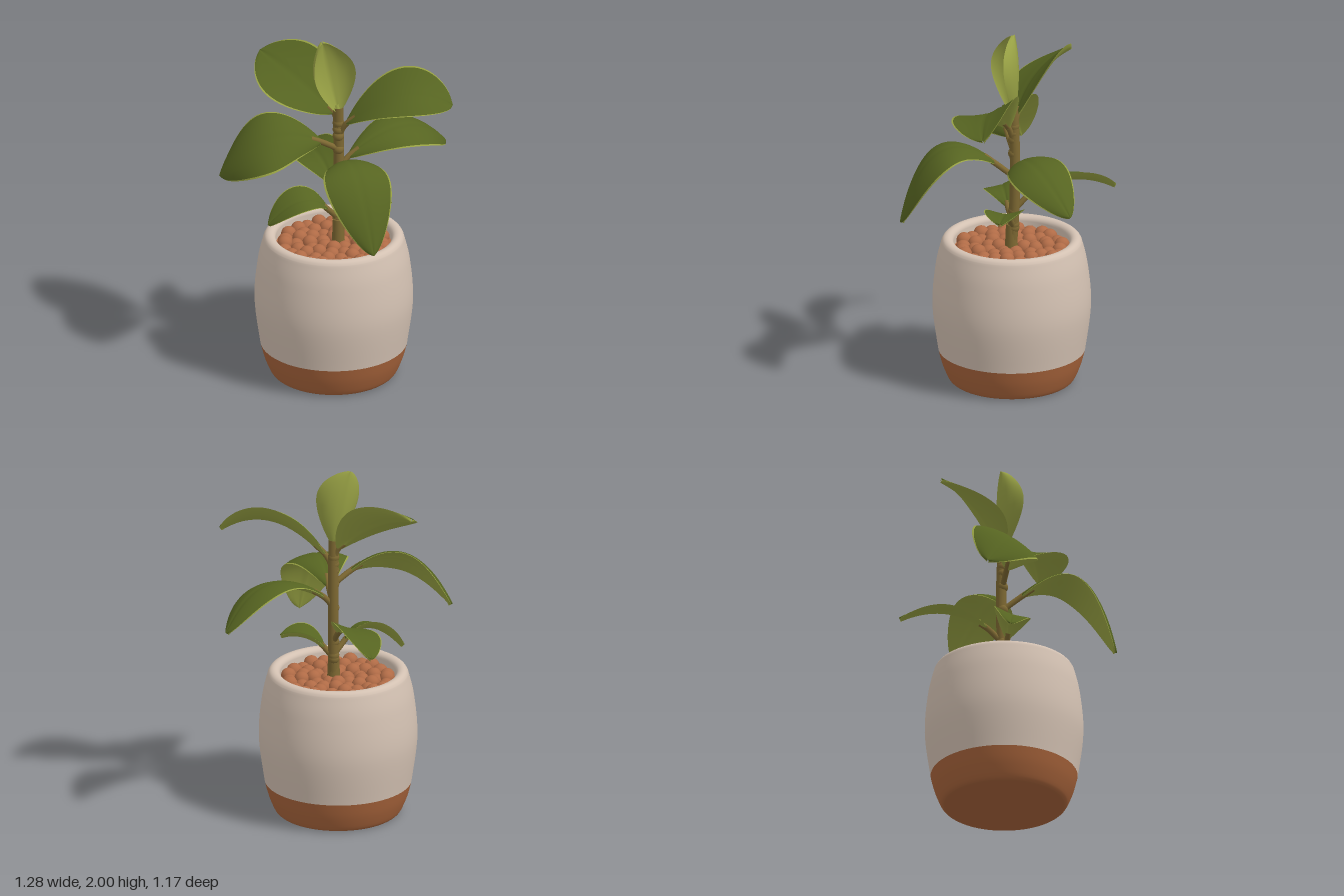
import * as THREE from 'three';

const mat = (name, color) => {
  const m = new THREE.MeshStandardMaterial({ color });
  m.name = name;
  return m;
};
const vec = (p) => new THREE.Vector3(...p);

// Arc that starts at base, passes through mid and ends at tip
function arc(base, mid, tip) {
  const [a, m, b] = [base, mid, tip].map(vec);
  const control = m.multiplyScalar(2).addScaledVector(a, -0.5).addScaledVector(b, -0.5);
  return new THREE.QuadraticBezierCurve3(a, control, b);
}

// Leaf blade along a curve: upper face in group 0, light rim and underside in group 1
function bladeGeometry(curve, across, width, curl) {
  const half = [0, 0.08, 0.25, 0.5, 0.75, 0.95, 1];
  const columns = [...half.slice(1).reverse().map((u) => -u), ...half];
  const rows = 36, M = columns.length;
  const pos = [], upper = [], under = [];
  for (let i = 0; i <= rows; i++) {
    const t = (1 - Math.cos(Math.PI * i / rows)) / 2;
    const c = curve.getPoint(t), tan = curve.getTangent(t);
    const s = across.clone().addScaledVector(tan, -across.dot(tan)).normalize();
    const n = s.clone().cross(tan);
    const w = Math.max(0.004, width * Math.pow(Math.abs(Math.sin(Math.PI * Math.pow(t, 1.2))), 0.62));
    for (const face of [1, -1]) {
      for (const u of columns) {
        const x = w * Math.sin(u * curl) / curl;
        const lift = w * (1 - Math.cos(u * curl)) / curl;
        const groove = u === 0 ? 0.005 : 0;
        const h = face * 0.01 * (1 - u ** 4) - groove;
        const p = c.clone().addScaledVector(s, x).addScaledVector(n, lift + h);
        pos.push(p.x, p.y, p.z);
      }
    }
  }
  for (let i = 0; i < rows; i++) {
    for (let j = 0; j < M - 1; j++) {
      const a = i * 2 * M + j, c = a + 2 * M;
      const rim = j === 0 || j === M - 2;
      (rim ? under : upper).push(a, a + 1, c, a + 1, c + 1, c);
      const d = a + M, e = c + M;
      under.push(d, e, d + 1, d + 1, e, e + 1);
    }
  }
  const g = new THREE.BufferGeometry();
  g.setAttribute('position', new THREE.Float32BufferAttribute(pos, 3));
  g.setIndex([...upper, ...under]);
  g.addGroup(0, upper.length, 0);
  g.addGroup(upper.length, under.length, 1);
  g.computeVertexNormals();
  return g;
}

export function createModel() {
  const glaze = mat('paleGlaze', 0xd3c1b2);
  const clay = mat('terracotta', 0xa8643b);
  const pebble = mat('clayPebble', 0xb06b46);
  const bark = mat('stemBrown', 0x7d6832);
  const green = mat('leafGreen', 0x566421);
  const pale = mat('leafUnderside', 0x98a243);
  const fresh = mat('youngLeafGreen', 0x97a044);

  const model = new THREE.Group();
  const add = (name, geometry, material, parent = model) => {
    const m = new THREE.Mesh(geometry, material);
    m.name = name;
    parent.add(m);
    return m;
  };
  const point = (x, y) => new THREE.Vector2(x, y);

  // Pot: unglazed foot, bulging glazed body and a rounded lip
  const pot = new THREE.Group();
  pot.name = 'pot';
  pot.position.set(-0.005, 0, -0.022);
  model.add(pot);
  const flare = new THREE.SplineCurve([point(0.333, 0.001), point(0.353, 0.022), point(0.385, 0.1), point(0.406, 0.18)]);
  add('potFoot', new THREE.LatheGeometry([point(0, 0), point(0.325, 0), ...flare.getPoints(12)], 64), clay, pot);
  const belly = new THREE.SplineCurve([point(0.406, 0.18), point(0.438, 0.44), point(0.42, 0.67), point(0.388, 0.81)]);
  const lip = new THREE.EllipseCurve(0.354, 0.805, 0.033, 0.03, 0.3, Math.PI);
  add('potBody', new THREE.LatheGeometry([...belly.getPoints(20), ...lip.getPoints(10), point(0.318, 0.72)], 64), glaze, pot);

  // Bed of round pebbles
  const soil = add('soil', new THREE.CylinderGeometry(0.32, 0.32, 0.02, 48), pebble, pot);
  soil.position.y = 0.755;
  const ball = new THREE.SphereGeometry(0.043, 16, 12);
  for (let ring = 1; ring <= 4; ring++) {
    const count = ring * 6;
    for (let k = 0; k < count; k++) {
      const a = (k / count) * Math.PI * 2 + ring * 0.6;
      const r = ring * 0.07 - 0.005 + 0.008 * Math.sin(k * 4.1 + ring * 3);
      const b = add('pebble', ball, pebble, pot);
      b.position.set(Math.cos(a) * r, 0.765 + 0.01 * Math.sin(k * 2.3 + ring * 5), Math.sin(a) * r);
    }
  }

  // Stem with a thicker base
  const stem = arc([0.02, 0.74, -0.02], [0.024, 1.17, -0.042], [0.02, 1.6, -0.03]);
  add('stem', new THREE.TubeGeometry(stem, 32, 0.029, 14), bark);
  const stemBase = add('stemBase', new THREE.CylinderGeometry(0.03, 0.038, 0.18, 16), bark);
  stemBase.position.set(0.02, 0.83, -0.022);

  // Leaf on a short stalk that leaves the stem at height rootY; across runs from edge to edge
  function addLeaf(name, rootY, rib, across, width, curl, top, back, stalkColor) {
    const group = new THREE.Group();
    group.name = name;
    model.add(group);
    const root = vec([0.021, rootY, -0.035]);
    const stalk = new THREE.CatmullRomCurve3([root, rib.getPoint(0), rib.getPoint(0.1)]);
    add('stalk', new THREE.TubeGeometry(stalk, 10, 0.016, 10), stalkColor, group);
    add('stemNode', new THREE.SphereGeometry(0.032, 14, 10), bark, group).position.copy(root);
    add('blade', bladeGeometry(rib, across, width, curl), [top, back], group);
  }

  // Spreading leaf: tilt raises one edge, curl cups the blade
  function addSpreadingLeaf(name, rootY, base, mid, tip, width, tilt, curl) {
    const chord = vec(tip).sub(vec(base)).setY(0).normalize();
    const across = new THREE.Vector3(-chord.z, tilt, chord.x);
    addLeaf(name, rootY, arc(base, mid, tip), across, width, curl, green, pale, bark);
  }
  addSpreadingLeaf('frontLeaf', 1.2, [0.04, 1.28, 0.06], [0.095, 1.36, 0.37], [0.17, 0.97, 0.575], 0.195, 0, -0.4);
  addSpreadingLeaf('upperRightLeaf', 1.42, [0.06, 1.5, -0.01], [0.35, 1.69, 0.08], [0.64, 1.64, 0.09], 0.2, -0.42, 0.5);
  addSpreadingLeaf('lowerRightLeaf', 1.2, [0.07, 1.27, -0.06], [0.39, 1.4, -0.18], [0.635, 1.2, -0.39], 0.165, -0.25, -0.4);
  addSpreadingLeaf('leftLeaf', 1.34, [-0.07, 1.4, 0], [-0.38, 1.45, 0.06], [-0.63, 1.2, -0.03], 0.205, 0.7, -0.3);
  addSpreadingLeaf('upperLeftLeaf', 1.46, [0, 1.55, -0.05], [-0.19, 1.72, -0.14], [-0.39, 1.82, -0.32], 0.21, 0.7, 0.35);
  addSpreadingLeaf('backLeaf', 1, [0, 1.08, -0.11], [-0.07, 1.17, -0.34], [-0.15, 1.1, -0.585], 0.135, 0.35, 0.4);
  addSpreadingLeaf('smallLeftLeaf', 0.92, [-0.04, 0.99, 0], [-0.19, 1.06, 0.04], [-0.37, 0.93, 0.06], 0.11, 0.35, 0.4);
  addSpreadingLeaf('smallRightLeaf', 0.9, [0.07, 0.96, -0.02], [0.18, 1.03, 0], [0.31, 1.02, 0.02], 0.12, -0.1, 0.6);

  // Upright, cupped young leaf at the top
  const youngRib = arc([0.02, 1.56, -0.03], [-0.035, 1.8, -0.045], [-0.07, 2, -0.02]);
  addLeaf('youngLeaf', 1.5, youngRib, vec([0.94, 0, -0.35]), 0.18, 1.45, fresh, fresh, fresh);
  return model;
}
